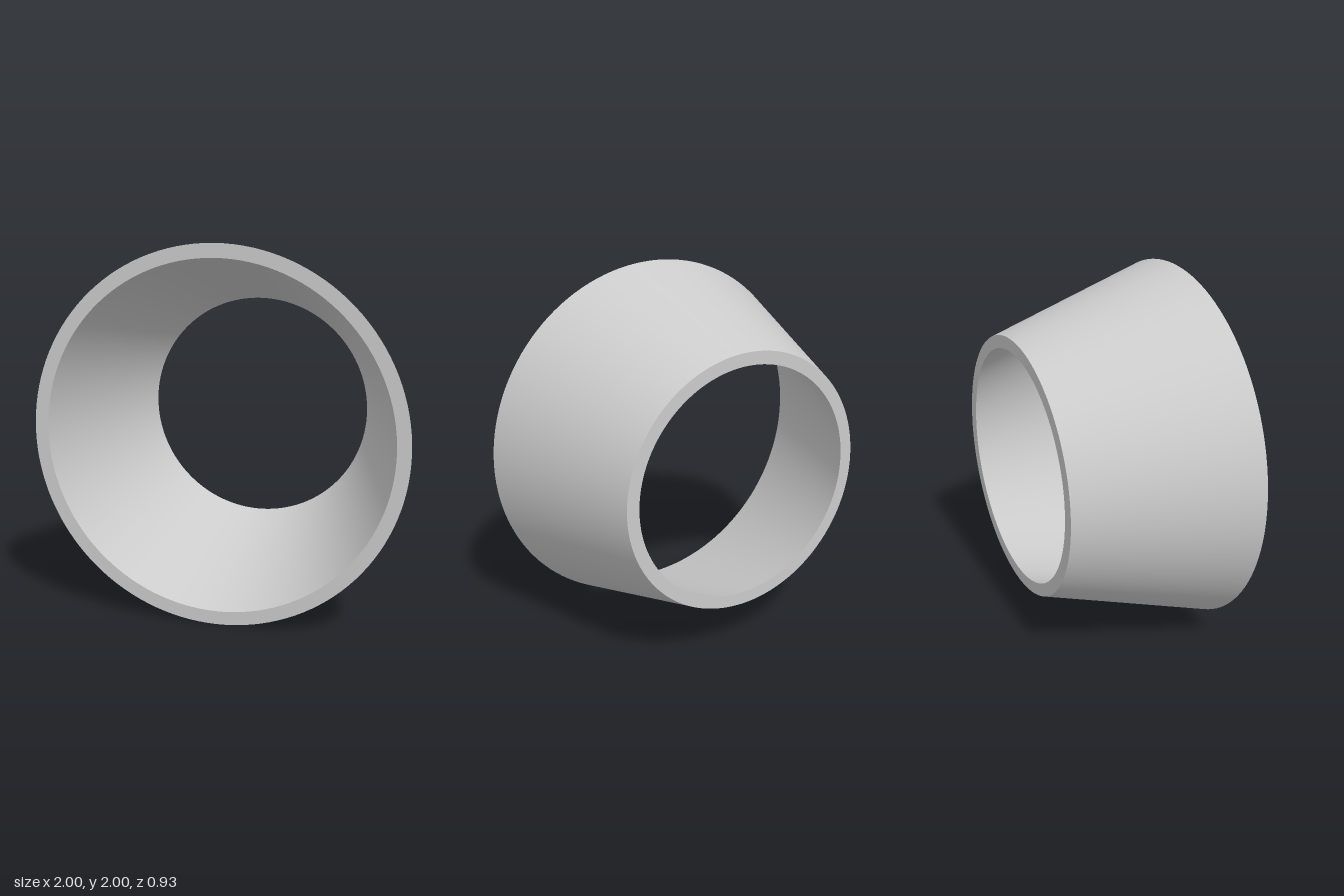
import * as THREE from 'three';
import { toCreasedNormals } from 'three/addons/utils/BufferGeometryUtils.js';

export function createModel() {
  const group = new THREE.Group();
  group.name = 'taperedSleeve';

  const halfDepth = 0.463;
  const front = { outer: 1, inner: 0.927 };
  const back = { outer: 0.707, inner: 0.637 };

  // Closed wall section: outer cone, front rim, inner cone, back rim
  const profile = [
    [back.outer, -halfDepth],
    [front.outer, halfDepth],
    [front.inner, halfDepth],
    [back.inner, -halfDepth],
    [back.outer, -halfDepth],
  ].map(([r, y]) => new THREE.Vector2(r, y));

  // Revolve, keep rims sharp, turn the wide end to the front and stand on the ground
  const geometry = toCreasedNormals(new THREE.LatheGeometry(profile, 128), 0.5);
  geometry.rotateX(Math.PI / 2);
  geometry.translate(0, front.outer, 0);

  const sleeve = new THREE.Mesh(geometry, new THREE.MeshStandardMaterial({ color: 0xcccccc }));
  sleeve.name = 'conicalRing';
  group.add(sleeve);
  return group;
}
